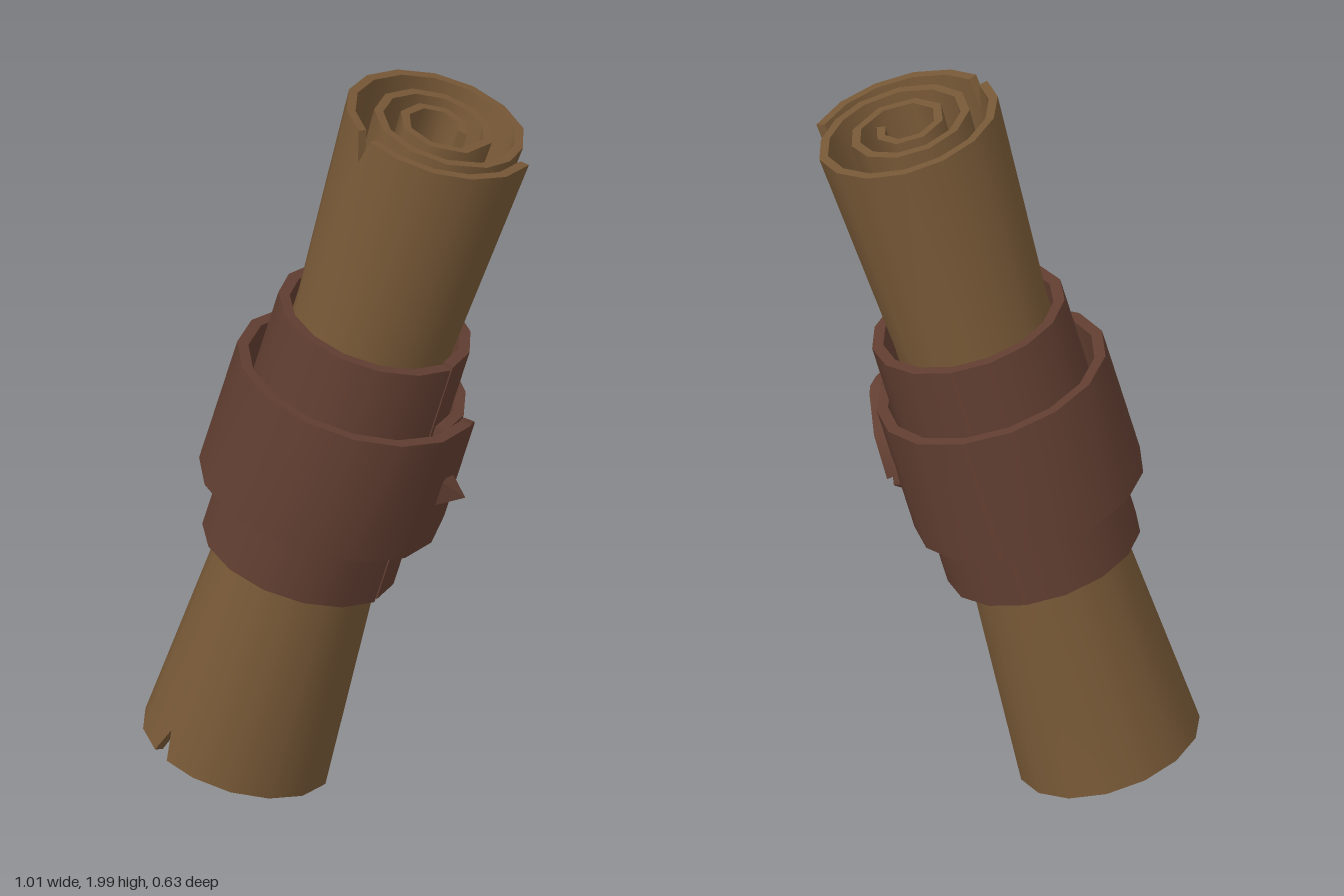
import * as THREE from 'three';
import { toCreasedNormals } from 'three/addons/utils/BufferGeometryUtils.js';

const rad = THREE.MathUtils.degToRad;

// Linear lookup in a list of [angle, value] keys
function lookup(keys, t) {
  for (let i = 1; i < keys.length; i++) {
    const [t0, v0] = keys[i - 1], [t1, v1] = keys[i];
    if (t <= t1) return v0 + (v1 - v0) * (t - t0) / (t1 - t0);
  }
  return keys[keys.length - 1][1];
}

// Curled strip. Each column: { deg, r, rows: heights from top to bottom }
function curledStrip(columns, thickness, scaleAt = () => 1) {
  const loops = columns.map(({ deg, r, rows }) => {
    const point = (radius, v) => {
      const s = radius * scaleAt(v);
      return [s * Math.cos(rad(deg)), v, s * Math.sin(rad(deg))];
    };
    return [
      ...rows.map(v => point(r, v)),
      ...[...rows].reverse().map(v => point(r - thickness, v)),
    ];
  });
  const n = loops[0].length, last = loops.length - 1;
  const pos = [];
  const quad = (a, b, c, d) => [a, b, c, a, c, d].forEach(p => pos.push(...p));
  for (let i = 0; i < last; i++) {
    for (let k = 0; k < n; k++) {
      const m = (k + 1) % n;
      quad(loops[i][k], loops[i + 1][k], loops[i + 1][m], loops[i][m]);
    }
  }
  // Both ends of the strip
  for (let k = 0; k < n / 2 - 1; k++) {
    const s = loops[0], e = loops[last];
    quad(s[k], s[k + 1], s[n - 2 - k], s[n - 1 - k]);
    quad(e[n - 1 - k], e[n - 2 - k], e[k + 1], e[k]);
  }
  const geo = new THREE.BufferGeometry();
  geo.setAttribute('position', new THREE.Float32BufferAttribute(pos, 3));
  return toCreasedNormals(geo, rad(50));
}

export function createModel() {
  const paper = new THREE.MeshStandardMaterial({ color: 0x785937 });
  paper.name = 'parchment';
  const leather = new THREE.MeshStandardMaterial({ color: 0x613e31 });
  leather.name = 'leather';

  const scroll = new THREE.Group();
  scroll.name = 'scroll';
  const add = (name, geo, mat) => {
    const mesh = new THREE.Mesh(geo, mat);
    mesh.name = name;
    scroll.add(mesh);
    return mesh;
  };

  // Rolled sheet: spiral pinched at the waist, with a small tear at each end
  const half = 0.962, waist = 0.36;
  const spiral = [[10, 0.256], [60, 0.25], [270, 0.25], [330, 0.238], [360, 0.218], [400, 0.203],
    [450, 0.185], [540, 0.172], [630, 0.158], [720, 0.142], [810, 0.122], [900, 0.105], [990, 0.092], [1085, 0.075]];
  const angles = [10, 34, 58, 82, 106, 126, 131, 138];
  for (let d = 160; d < 400; d += 24) angles.push(d);
  for (let d = 400; d < 720; d += 32) angles.push(d);
  for (let d = 720; d <= 1085; d += 45) angles.push(d);
  const sheet = angles.map(deg => {
    const h = deg === 131 ? half - 0.08 : half;
    return { deg, r: lookup(spiral, deg), rows: [h, waist, -waist, -h] };
  });
  const pinch = v => 0.85 + 0.15 * Math.max(0, (Math.abs(v) - waist) / (half - waist));
  add('rolledSheet', curledStrip(sheet, 0.024, pinch), paper);

  // Wide inner wrap with a narrow seam
  const inner = [];
  for (let i = 0; i <= 15; i++) {
    inner.push({ deg: 29 + i * 23.75, r: 0.262 - 0.006 * i / 15, rows: [0.36, -0.36] });
  }
  add('innerWrap', curledStrip(inner, 0.03), leather);

  // Outer strap, its far end tucked under the tongue
  const strapRadius = [[9.5, 0.322], [290, 0.318], [340, 0.294], [385, 0.291]];
  const strap = [];
  for (let i = 0; i <= 16; i++) {
    const deg = 9.5 + i * 375.5 / 16;
    strap.push({ deg, r: lookup(strapRadius, deg), rows: [0.18, -0.18] });
  }
  add('outerStrap', curledStrip(strap, 0.03), leather);

  // Pointed strap tongue with a torn lower edge
  add('strapTongue', curledStrip([
    { deg: -28, r: 0.325, rows: [0.002, -0.002] },
    { deg: -14, r: 0.325, rows: [0.088, -0.022] },
    { deg: 0, r: 0.325, rows: [0.165, -0.043] },
    { deg: 3, r: 0.324, rows: [0.178, -0.043] },
    { deg: 9.5, r: 0.322, rows: [0.18, -0.043] },
  ], 0.03), leather);
  add('tornCorner', curledStrip([
    { deg: -6.6, r: 0.325, rows: [-0.091, -0.095] },
    { deg: 0, r: 0.325, rows: [-0.043, -0.124] },
    { deg: 9.5, r: 0.322, rows: [-0.043, -0.178] },
  ], 0.03), leather);

  // Pyramid stud on the tongue
  const studGeo = new THREE.ConeGeometry(0.05, 0.062, 4).toNonIndexed();
  studGeo.rotateY(Math.PI / 4);
  studGeo.computeVertexNormals();
  studGeo.rotateZ(-Math.PI / 2);
  const stud = add('stud', studGeo, leather);
  stud.position.set(0.335, 0, 0.088);
  stud.rotation.y = rad(-8);

  // Lean the whole roll to its left
  scroll.rotation.z = -0.28;
  scroll.position.y = 1;
  const model = new THREE.Group();
  model.name = 'strappedScroll';
  model.add(scroll);
  return model;
}
